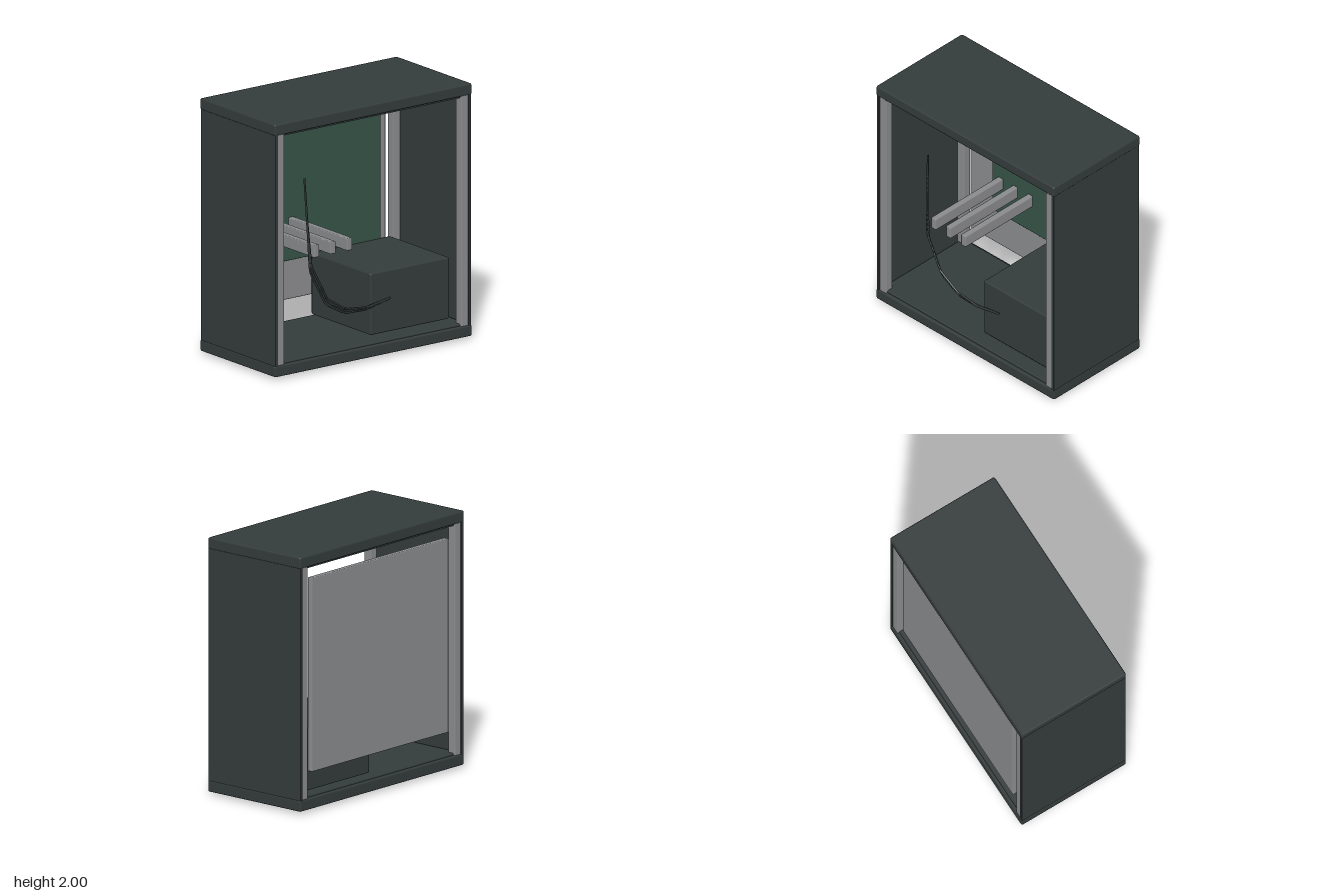
import * as THREE from 'three';
import { RoundedBoxGeometry } from 'three/addons/geometries/RoundedBoxGeometry.js';

export function createModel() {
  const model = new THREE.Group();
  model.name = 'computerCase';

  const mat = (name, color) => Object.assign(new THREE.MeshStandardMaterial({ color }), { name });
  const shell = mat('charcoal shell', 0x343b3b);
  const metal = mat('grey metal', 0x8a8b8d);
  const board = mat('green board', 0x355345);

  // Box with softened edges, given by its limits on each axis
  function box(name, material, [x0, x1], [y0, y1], [z0, z1], bevel = 0.01) {
    const w = x1 - x0, h = y1 - y0, d = z1 - z0;
    const geometry = bevel
      ? new RoundedBoxGeometry(w, h, d, 1, bevel)
      : new THREE.BoxGeometry(w, h, d);
    const mesh = new THREE.Mesh(geometry, material);
    mesh.name = name;
    mesh.position.set((x0 + x1) / 2, (y0 + y1) / 2, (z0 + z1) / 2);
    model.add(mesh);
    return mesh;
  }

  // Outer shell: lids, inner liners, front and back walls
  box('topPanel', shell, [-0.465, 0.465], [1.91, 2], [-0.935, 0.935], 0.014);
  box('bottomPanel', shell, [-0.465, 0.465], [0.02, 0.11], [-0.935, 0.935], 0.014);
  box('ceiling', shell, [-0.44, 0.44], [1.895, 1.93], [-0.9, 0.9], 0);
  box('floor', shell, [-0.44, 0.44], [0.09, 0.125], [-0.9, 0.9], 0.01);
  box('frontPanel', shell, [-0.463, 0.463], [0.09, 1.93], [0.905, 0.93], 0.006);
  box('backPanel', shell, [-0.463, 0.463], [0.09, 1.93], [-0.93, -0.905], 0.006);

  // Corner posts and feet
  for (const s of [-1, 1]) {
    for (const t of [-1, 1]) {
      box('cornerPost', metal,
        s > 0 ? [0.385, 0.455] : [-0.455, -0.385], [0.1, 1.92],
        t > 0 ? [0.838, 0.908] : [-0.908, -0.838], 0.008);
    }
    box('foot', shell, [-0.35, 0.35], [0, 0.04],
      s > 0 ? [0.51, 0.655] : [-0.655, -0.51], 0.01);
  }

  // Circuit board on its tray
  box('boardTray', metal, [-0.445, -0.4], [0.3, 1.81], [-0.78, 0.778], 0.008);
  box('circuitBoard', board, [-0.41, -0.38], [0.61, 1.72], [-0.715, 0.535], 0.004);

  // Expansion cards
  for (const z of [0.447, 0.292, 0.135]) {
    box('expansionCard', metal, [-0.385, 0.345], [0.85, 0.948], [z - 0.025, z + 0.025], 0.008);
  }

  // Power supply
  box('powerSupply', shell, [-0.4, 0.335], [0.145, 0.63], [-0.82, -0.07], 0.014);

  // Loose cables: strands share their ends and spread apart along the sag
  const path = [
    [0.31, 1.48, 0.54], [0.33, 1.1, 0.525], [0.345, 0.77, 0.507], [0.35, 0.49, 0.36],
    [0.35, 0.385, 0.18], [0.35, 0.372, -0.01], [0.345, 0.412, -0.25],
  ];
  const spread = [0, 0.005, 0.025, 0.025, 0.018, 0.01, 0];
  for (const s of [-1, 0, 1]) {
    const cable = new THREE.CurvePath();
    const points = path.map(([x, y, z], i) => new THREE.Vector3(x + s * spread[i] * 0.4, y + s * spread[i], z));
    for (let i = 1; i < points.length; i++) cable.add(new THREE.LineCurve3(points[i - 1], points[i]));
    const mesh = new THREE.Mesh(new THREE.TubeGeometry(cable, 36, 0.008, 5), shell);
    mesh.name = 'cable';
    model.add(mesh);
  }

  return model;
}
